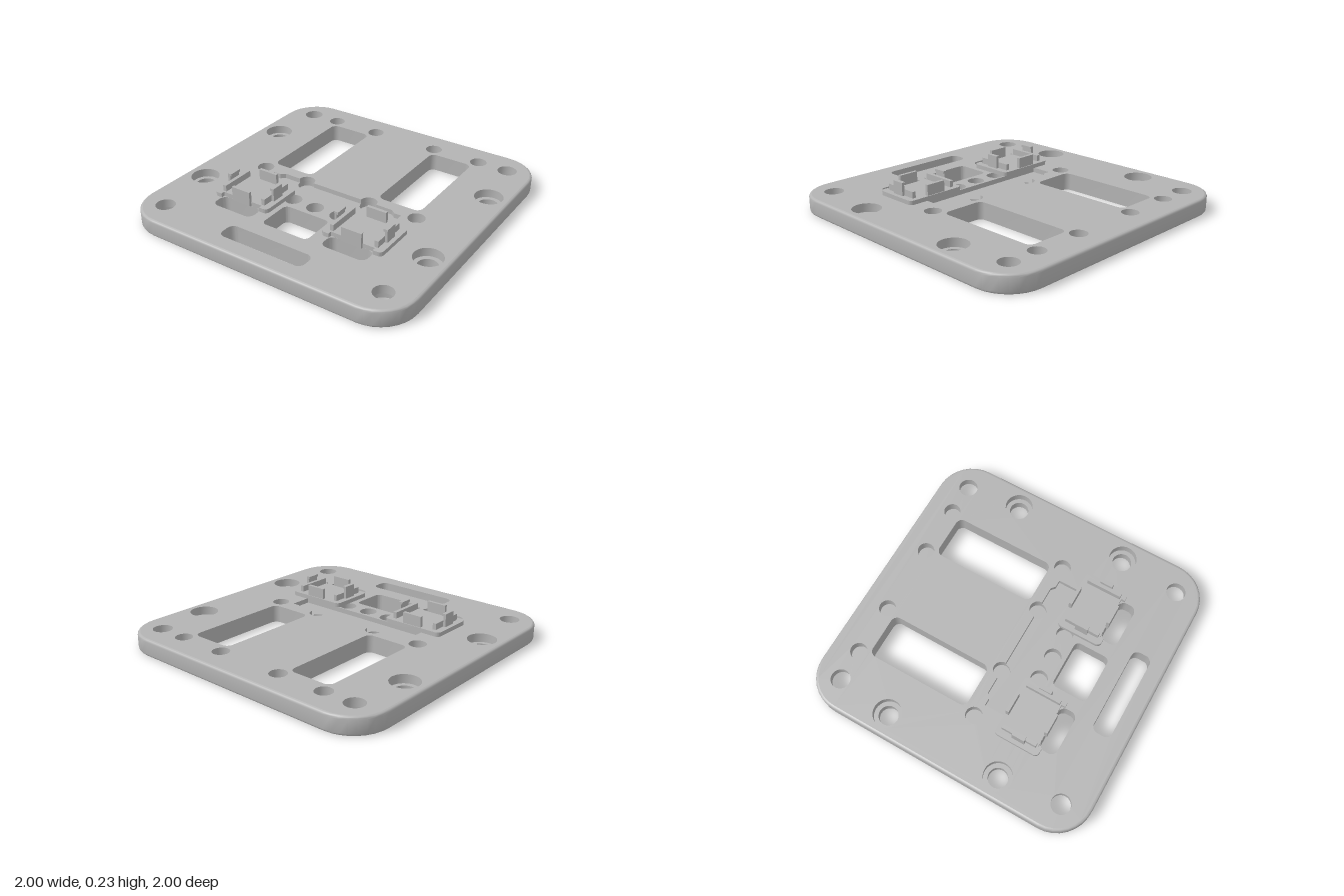
import * as THREE from 'three';
import { mergeGeometries, toCreasedNormals } from 'three/addons/utils/BufferGeometryUtils.js';

const TOP = 0.118, POCKET_Y = 0.085, BLIND_Y = 0.05, K = 8;
const V = (x, z) => new THREE.Vector2(x, z);

// Rounded rectangle outline in the x/z plane, running from +x towards +z
function roundRect(cx, cz, w, d, r) {
  const pts = [], round = w === 2 * r && d === 2 * r;
  [[1, 1], [-1, 1], [-1, -1], [1, -1]].forEach(([sx, sz], q) => {
    for (let i = 0; i < (round ? K : K + 1); i++) {
      const a = (q + i / K) * Math.PI / 2;
      pts.push(V(cx + sx * (w / 2 - r) + r * Math.cos(a), cz + sz * (d / 2 - r) + r * Math.sin(a)));
    }
  });
  return pts;
}
const circle = (x, z, r) => roundRect(x, z, 2 * r, 2 * r, r);

// Wall through [outline, y] rings: upward order faces inward, downward order faces outward
function loft(rings) {
  const pos = [], n = rings[0][0].length;
  for (let j = 0; j + 1 < rings.length; j++) {
    const [p, y0] = rings[j], [q, y1] = rings[j + 1];
    for (let i = 0; i < n; i++) {
      const k = (i + 1) % n;
      const a = [p[i].x, y0, p[i].y], b = [p[k].x, y0, p[k].y];
      const c = [q[k].x, y1, q[k].y], d = [q[i].x, y1, q[i].y];
      pos.push(...a, ...b, ...c, ...a, ...c, ...d);
    }
  }
  const g = new THREE.BufferGeometry();
  g.setAttribute('position', new THREE.Float32BufferAttribute(pos, 3));
  return toCreasedNormals(g, 0.6);
}

// Flat face with holes
function cap(outline, holes, y, up) {
  const shape = new THREE.Shape(outline);
  shape.holes = holes.map(h => new THREE.Path(h));
  let g = new THREE.ShapeGeometry(shape).rotateX(Math.PI / 2).translate(0, y, 0);
  if (up) g.index.array.reverse();
  g = g.toNonIndexed();
  g.deleteAttribute('uv');
  g.computeVertexNormals();
  return g;
}

const prism = (outline, y0, y1) => mergeGeometries([
  cap(outline, [], y1, true), cap(outline, [], y0, false), loft([[outline, y1], [outline, y0]]),
]);

// Cable pocket outline; the two magnet holes either bulge out of its back edge or bite into it
function pocketOutline(bulge) {
  const pts = [V(0.5, 0.09), V(0.5, 0.24), V(-0.5, 0.24), V(-0.5, 0.09), V(-0.45, 0.09), V(-0.42, 0.065)];
  for (const x of [-0.245, 0.245]) {
    for (let i = 0; i <= 2 * K; i++) {
      const a = Math.PI + (bulge ? 1 : -1) * Math.PI * i / (2 * K);
      pts.push(V(x + 0.057 * Math.cos(a), 0.065 + 0.057 * Math.sin(a)));
    }
  }
  return [...pts, V(0.42, 0.065), V(0.45, 0.09)];
}

function plateGeometry() {
  const parts = [], topHoles = [], bottomHoles = [];
  const through = (...rings) => { // rings from bottom to top
    bottomHoles.push(rings[0][0]);
    topHoles.push(rings[rings.length - 1][0]);
    parts.push(loft(rings));
  };
  const blind = (x, z, top = TOP) => {
    const c = circle(x, z, 0.057);
    if (top === TOP) topHoles.push(c);
    parts.push(loft([[c, BLIND_Y], [c, top]]), cap(c, [], BLIND_Y, true));
  };
  const window = (...a) => { const r = roundRect(...a); through([r, 0], [r, TOP]); };

  // Centre openings
  window(0, 0.518, 0.34, 0.245, 0.035);
  window(0, 0.82, 0.615, 0.13, 0.045);
  for (const s of [-1, 1]) {
    window(s * 0.42, -0.38, 0.31, 0.73, 0.045);
    window(s * 0.42, 0.578, 0.31, 0.117, 0.045);
    // Corner holes, counterbored from below
    for (const z of [-0.813, 0.813]) {
      const wide = circle(s * 0.813, z, 0.105), thin = circle(s * 0.813, z, 0.065);
      through([wide, 0], [wide, 0.06], [thin, 0.06], [thin, TOP]);
    }
    // Side holes, counterbored from above
    for (const z of [-0.425, 0.39]) {
      const wide = circle(s * 0.857, z, 0.095), thin = circle(s * 0.857, z, 0.065);
      through([thin, 0], [thin, 0.06], [wide, 0.06], [wide, TOP]);
    }
    // Magnet holes
    blind(s * 0.595, -0.815);
    blind(s * 0.245, -0.815);
    blind(s * 0.595, 0.062);
    blind(s * 0.245, 0.065, POCKET_Y);
    blind(s * 0.175, 0.306);
  }
  blind(0, 0.312);

  // Cable pocket
  const mouth = pocketOutline(true);
  topHoles.push(mouth);
  parts.push(loft([[mouth, POCKET_Y], [mouth, TOP]]), cap(pocketOutline(false), [], POCKET_Y, true));

  // Outer rim with rounded edges
  const edge = 0.018, rim = [];
  const outline = inset => roundRect(0, 0, 2 - 2 * inset, 2 - 2 * inset, 0.25 - inset);
  for (let i = 0; i <= 4; i++) {
    const a = i * Math.PI / 8;
    rim.push([outline(edge * (1 - Math.sin(a))), TOP - edge * (1 - Math.cos(a))]);
  }
  for (let i = 4; i >= 0; i--) rim.push([rim[i][0], TOP - rim[i][1]]);
  parts.push(loft(rim));
  parts.push(cap(outline(edge), topHoles, TOP, true), cap(outline(edge), bottomHoles, 0, false));
  return mergeGeometries(parts);
}

export function createModel() {
  const grey = new THREE.MeshStandardMaterial({ color: 0xb3b3b3 });
  grey.name = 'grey';
  const model = new THREE.Group();
  model.name = 'mountingPlate';
  const add = (parent, name, geometry) => {
    const mesh = new THREE.Mesh(geometry, grey);
    mesh.name = name;
    parent.add(mesh);
  };
  const box = (x0, x1, y0, y1, z0, z1) => new THREE.BoxGeometry(x1 - x0, y1 - y0, z1 - z0)
    .translate((x0 + x1) / 2, (y0 + y1) / 2, (z0 + z1) / 2);

  add(model, 'basePlate', plateGeometry());

  // Two clip-in holders
  const padTop = 0.147;
  const pad = roundRect(0, 0.3875, 0.43, 0.315, 0.03);
  pad.splice(K + 1, 0, V(0.155, 0.545), V(0.155, 0.519), V(-0.155, 0.519), V(-0.155, 0.545));
  for (const side of [-1, 1]) {
    const holder = new THREE.Group();
    holder.name = side > 0 ? 'leftHolder' : 'rightHolder';
    holder.position.x = side * 0.42;
    add(holder, 'pad', prism(pad, TOP, padTop));
    add(holder, 'backStop', box(-0.07, 0.07, padTop, 0.22, 0.236, 0.258));
    add(holder, 'frontStop', box(-0.07, 0.07, TOP, 0.22, 0.514, 0.535));
    for (const s of [-1, 1]) {
      const span = (a, b, ...rest) => box(Math.min(s * a, s * b), Math.max(s * a, s * b), ...rest);
      add(holder, 'sideRail', span(0.145, 0.17, padTop, 0.19, 0.265, 0.508));
      add(holder, 'clipArm', span(0.17, 0.188, padTop, 0.235, 0.347, 0.435));
      add(holder, 'clipHook', span(0.16, 0.17, 0.218, 0.235, 0.347, 0.435));
    }
    model.add(holder);
  }
  return model;
}
